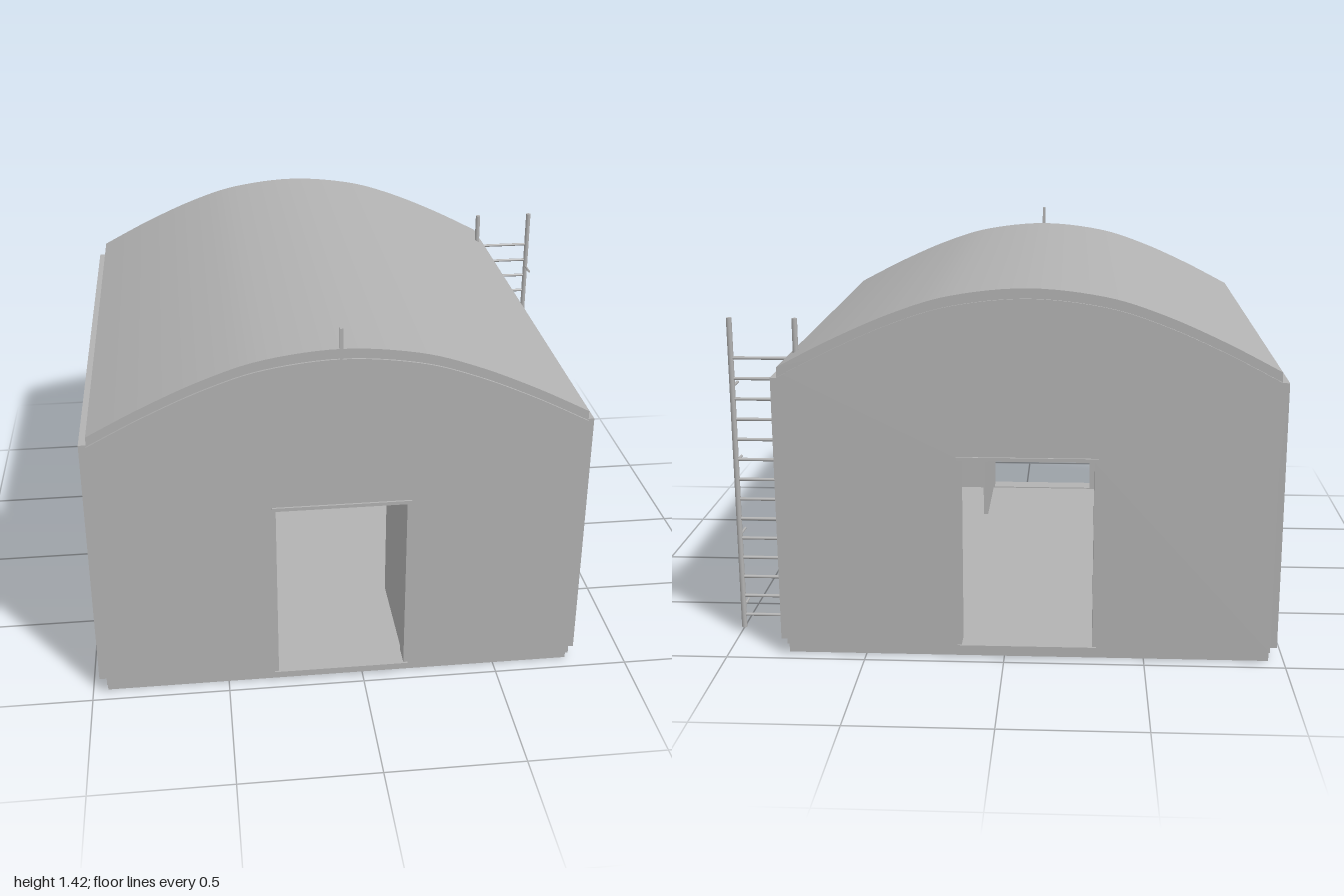
import * as THREE from 'three';
import { toCreasedNormals } from 'three/addons/utils/BufferGeometryUtils.js';

const grey = new THREE.MeshStandardMaterial({ color: 0xb2b2b2 });
grey.name = 'concrete grey';

const CX = -0.082;  // centre line of the building in x
const HALF = 0.864; // half width of the end walls and roof

function add(parent, name, geometry) {
  const mesh = new THREE.Mesh(geometry, grey);
  mesh.name = name;
  parent.add(mesh);
  return mesh;
}

// Box given by its two extreme corners
function box(parent, name, x0, x1, y0, y1, z0, z1) {
  const g = new THREE.BoxGeometry(x1 - x0, y1 - y0, z1 - z0);
  g.translate((x0 + x1) / 2, (y0 + y1) / 2, (z0 + z1) / 2);
  return add(parent, name, g);
}

function rect(x0, x1, y0, y1, Type = THREE.Shape) {
  const s = new Type();
  s.moveTo(x0, y0);
  s.lineTo(x1, y0);
  s.lineTo(x1, y1);
  s.lineTo(x0, y1);
  s.closePath();
  return s;
}

// Vaulted roof line from left eave to right eave, lowered by drop
function arch(drop) {
  const half = [[HALF, 1.065], [0.67, 1.165], [0.46, 1.257], [0.26, 1.318]];
  const pts = [
    ...half.map(([x, y]) => [-x, y]),
    [0, 1.345],
    ...half.slice().reverse(),
  ].map(([x, y]) => new THREE.Vector2(x, y - drop));
  return new THREE.SplineCurve(pts).getPoints(48);
}

function extrude(shape, depth) {
  const g = new THREE.ExtrudeGeometry(shape, { depth, bevelEnabled: false });
  return toCreasedNormals(g, 0.5);
}

// End wall with gable, doorway and door trim, facing +z
function endWall(name) {
  const g = new THREE.Group();
  g.name = name;
  const shape = new THREE.Shape([
    new THREE.Vector2(-HALF, 0.045), new THREE.Vector2(HALF, 0.045),
    ...arch(0.035).reverse(),
  ]);
  shape.holes.push(rect(-0.233, 0.233, 0.055, 0.742, THREE.Path));
  add(g, 'gableWall', extrude(shape, 0.075).translate(0, 0, 0.9));
  box(g, 'doorLintel', -0.248, 0.248, 0.742, 0.755, 0.9, 0.982);
  box(g, 'doorThreshold', -0.248, 0.248, 0.044, 0.055, 0.9, 0.982);
  return g;
}

// Long wall with two windows, facing +x
function sideWall(name) {
  const g = new THREE.Group();
  g.name = name;
  const windows = [[0.28, 0.61], [-0.305, 0.03]];
  const shape = rect(-0.943, 0.943, 0.05, 1.022);
  for (const [a, b] of windows) {
    shape.holes.push(rect(a, b, 0.352, 0.715, THREE.Path));
    box(g, 'windowSill', 0.82, 0.918, 0.33, 0.352, a - 0.032, b + 0.032);
    box(g, 'windowLintel', 0.82, 0.904, 0.715, 0.728, a - 0.015, b + 0.015);
  }
  add(g, 'windowWall', extrude(shape, 0.075).rotateY(-Math.PI / 2).translate(0.893, 0, 0));
  return g;
}

export function createModel() {
  const model = new THREE.Group();
  model.name = 'vaultedHut';

  const hut = new THREE.Group();
  hut.name = 'building';
  hut.position.x = CX;
  model.add(hut);

  // Shell
  box(hut, 'floorSlab', -HALF, HALF, 0, 0.05, -0.943, 0.943);
  const front = endWall('frontWall');
  const back = endWall('backWall');
  const left = sideWall('leftWall');
  const right = sideWall('rightWall');
  back.rotation.y = right.rotation.y = Math.PI;
  hut.add(front, back, left, right);

  // Roof skin following the vault, with short upright eaves
  const roof = new THREE.Shape([
    ...arch(0).reverse(),
    new THREE.Vector2(-HALF, 1.02),
    ...arch(0.036),
    new THREE.Vector2(HALF, 1.02),
  ]);
  add(hut, 'roof', extrude(roof, 1.936).translate(0, 0, -0.968));

  // Rod on the front gable
  box(model, 'gableRod', -0.09, -0.078, 1.3, 1.42, 0.962, 0.974);

  // Ladder beside the left wall, with stand-off brackets
  const ladder = new THREE.Group();
  ladder.name = 'ladder';
  model.add(ladder);
  const rod = (name, radius, length) =>
    add(ladder, name, new THREE.CylinderGeometry(radius, radius, length, 10));
  for (const x of [0.754, 0.989]) rod('ladderRail', 0.01, 1.18).position.set(x, 0.61, -0.772);
  for (let i = 0; i < 14; i++) {
    const rung = rod('ladderRung', 0.006, 0.235);
    rung.rotation.z = Math.PI / 2;
    rung.position.set(0.8715, 0.07 + i * 0.0757, -0.772);
  }
  for (const y of [0.1, 0.383, 0.665, 0.948]) {
    const bracket = rod('ladderBracket', 0.005, 0.08);
    bracket.rotation.x = Math.PI / 2;
    bracket.position.set(0.989, y, -0.732);
  }

  // Desk with drawer cabinet and a ribbed pot on top
  box(model, 'deskTop', -0.85, -0.52, 0.345, 0.362, -0.165, 0.4);
  box(model, 'deskCabinet', -0.83, -0.55, 0.05, 0.345, 0.24, 0.385);
  box(model, 'deskEnd', -0.83, -0.55, 0.05, 0.345, -0.15, -0.13);
  add(model, 'pot', new THREE.CylinderGeometry(0.024, 0.024, 0.1, 14)).position.set(-0.7, 0.412, -0.062);

  // Stool
  box(model, 'stoolSeat', -0.55, -0.35, 0.205, 0.24, 0.28, 0.43);
  for (const x of [-0.53, -0.37]) {
    for (const z of [0.3, 0.41]) box(model, 'stoolLeg', x - 0.007, x + 0.007, 0.05, 0.205, z - 0.007, z + 0.007);
  }

  // Tall locker at the back and the open front door leaf
  box(model, 'locker', 0.36, 0.72, 0.05, 0.8, -0.89, -0.255);
  box(model, 'doorLeaf', 0.155, 0.175, 0.055, 0.742, 0.48, 0.9);

  return model;
}
